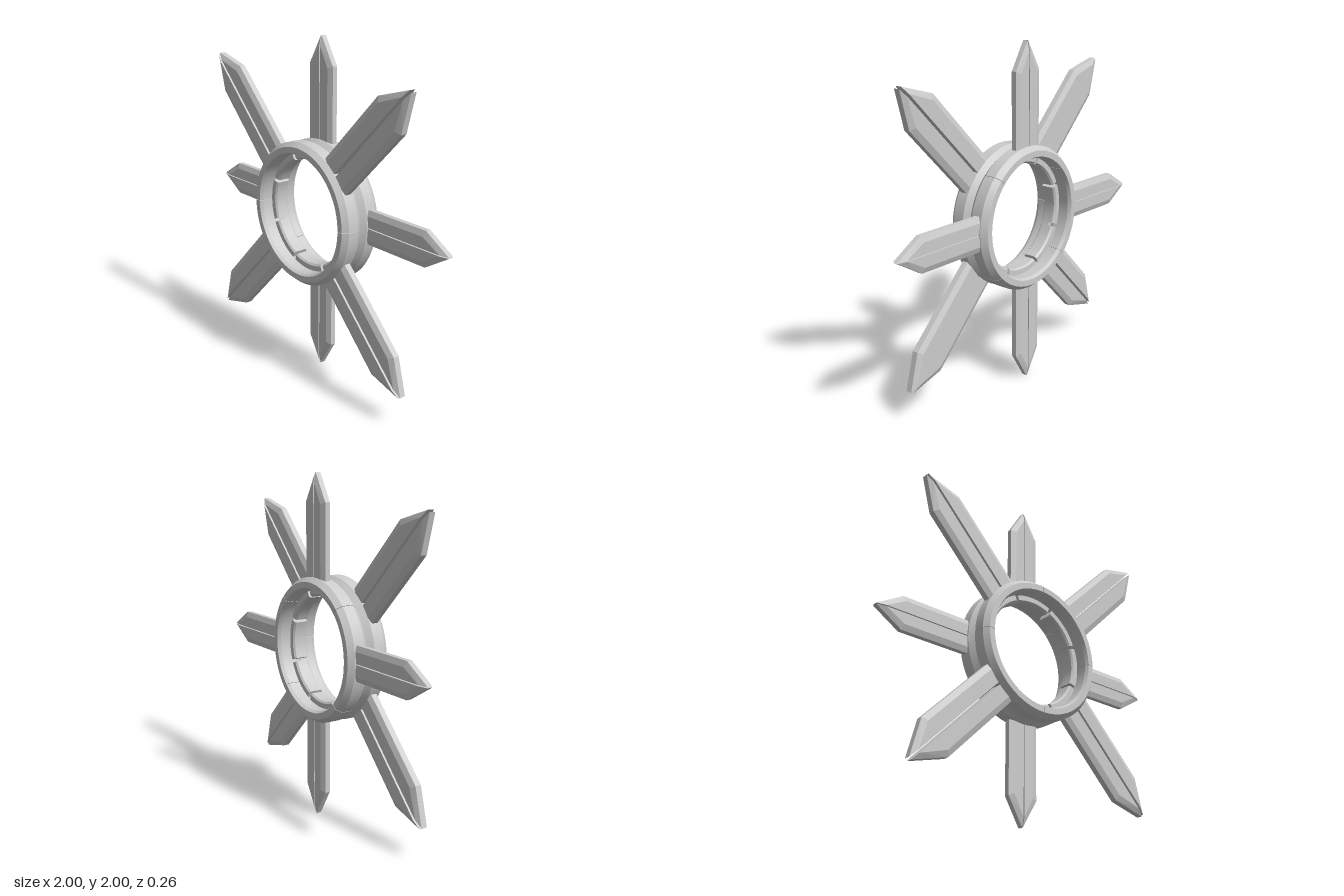
import * as THREE from 'three';
import { mergeGeometries, toCreasedNormals } from 'three/addons/utils/BufferGeometryUtils.js';
import { ConvexGeometry } from 'three/addons/geometries/ConvexGeometry.js';

const material = new THREE.MeshStandardMaterial({ color: 0xcccccc });

// Closed solid: a [radius, z] profile swept around z, with flat ends.
function arcSolid(profile, start, length, segments) {
  const points = profile.map(([r, z]) => new THREE.Vector2(r, z));
  const shape = new THREE.Shape(points);
  const sweep = new THREE.LatheGeometry([...points, points[0]], segments, start, length);
  const startCap = new THREE.ShapeGeometry(shape).rotateY(start - Math.PI / 2);
  const endCap = new THREE.ShapeGeometry(shape).rotateY(start + length - Math.PI / 2);
  endCap.index.array.reverse();
  const solid = mergeGeometries([sweep, startCap, endCap]).rotateX(Math.PI / 2);
  return toCreasedNormals(solid, Math.PI / 9);
}

// Ring of equal arcs with narrow gaps between them.
function segmentedRing(name, profile, count, offset, gap, segments) {
  const ring = new THREE.Group();
  ring.name = name;
  const step = Math.PI * 2 / count;
  for (let i = 0; i < count; i++) {
    const mesh = new THREE.Mesh(
      arcSolid(profile, offset + i * step + gap / 2, step - gap, segments), material);
    mesh.name = name + 'Segment';
    ring.add(mesh);
  }
  return ring;
}

// One half of a pointed blade lying along +x, with bevelled outer edges.
function halfBlade({ base, shoulder, tip, width, gap, thick, edge }, side) {
  const bevel = 0.032;
  const rim = [[base, gap], [base, width], [shoulder, width], [tip, gap]];
  const face = [[base, gap], [base, width - bevel],
    [shoulder - 0.012, width - bevel], [tip - 0.055, gap]];
  const points = [];
  for (const z of [-1, 1]) {
    for (const [x, y] of rim) points.push(new THREE.Vector3(x, y * side, z * edge));
    for (const [x, y] of face) points.push(new THREE.Vector3(x, y * side, z * thick));
  }
  return new ConvexGeometry(points);
}

// Four split blades at right angles.
function bladeSet(name, spec, z, offset) {
  const set = new THREE.Group();
  set.name = name + 's';
  const halves = [-1, 1].map(side => halfBlade(spec, side));
  for (let i = 0; i < 4; i++) {
    const blade = new THREE.Group();
    blade.name = name;
    halves.forEach((geometry, k) => {
      const half = new THREE.Mesh(geometry, material);
      half.name = k ? 'leftHalf' : 'rightHalf';
      blade.add(half);
    });
    blade.rotation.z = offset + i * Math.PI / 2;
    set.add(blade);
  }
  set.position.z = z;
  return set;
}

export function createModel() {
  const model = new THREE.Group();
  model.name = 'bladedRing';
  const body = new THREE.Group();
  body.name = 'body';
  body.position.y = 1;
  model.add(body);

  // Two chamfered rings back to back, their seams turned by 45 degrees
  const ringProfile = [[0.36, 0], [0.395, 0], [0.42, 0.033], [0.42, 0.1],
    [0.395, 0.13], [0.36, 0.13], [0.35, 0.11], [0.35, 0.02]];
  body.add(segmentedRing('frontRing', ringProfile, 4, 0, 0.006, 20));
  const backRing = segmentedRing('backRing', ringProfile, 4, Math.PI / 4, 0.006, 20);
  backRing.position.z = -0.13;
  body.add(backRing);

  // Inner ring of eight short arcs
  const innerProfile = [[0.31, -0.035], [0.32, -0.045], [0.351, -0.045],
    [0.351, 0.045], [0.32, 0.045], [0.31, 0.035]];
  body.add(segmentedRing('innerRing', innerProfile, 8, Math.PI / 8, 0.06, 10));

  // Long diagonal blades in front, shorter upright and level blades behind
  body.add(bladeSet('longBlade', { base: 0.4, shoulder: 0.972, tip: 1.165,
    width: 0.12, gap: 0.008, thick: 0.033, edge: 0.018 }, 0.065, Math.PI / 4));
  body.add(bladeSet('shortBlade', { base: 0.39, shoulder: 0.84, tip: 1,
    width: 0.1, gap: 0.003, thick: 0.028, edge: 0.015 }, -0.065, 0));

  return model;
}
